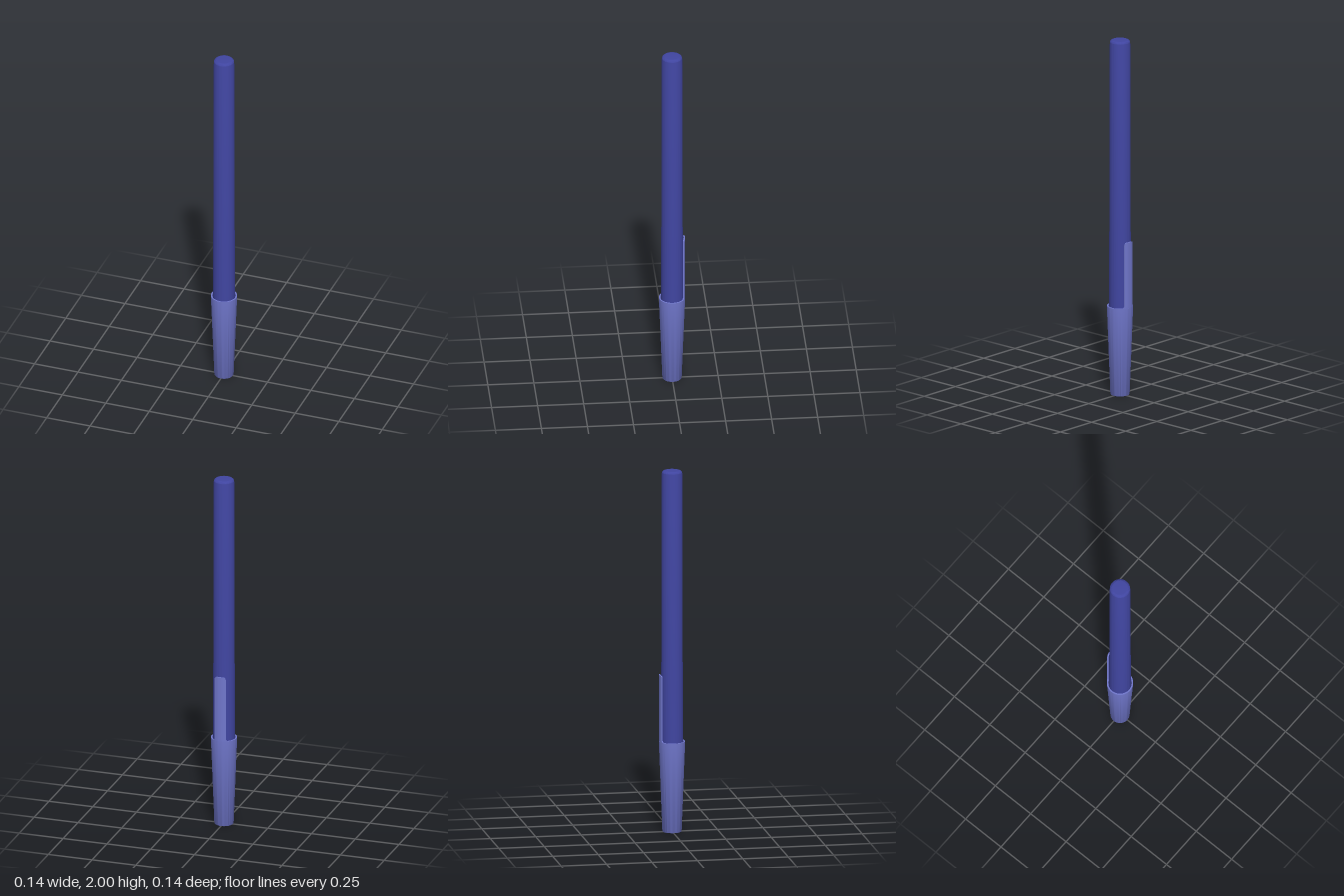
import * as THREE from 'three';
import { toCreasedNormals } from 'three/addons/utils/BufferGeometryUtils.js';

const SEGMENTS = 64;

function lathe(name, points, material) {
  const profile = points.map(([r, y]) => new THREE.Vector2(r, y));
  const geometry = toCreasedNormals(new THREE.LatheGeometry(profile, SEGMENTS), 0.6);
  const mesh = new THREE.Mesh(geometry, material);
  mesh.name = name;
  return mesh;
}

// Curved strip around the back (-z); rows are [half width, y]
function curvedStrip(rows, inner, outer, columns) {
  const positions = [], index = [], ring = 2 * (columns + 1);
  for (const [half, y] of rows) {
    for (let k = 0; k < ring; k++) {
      const onOuter = k <= columns;
      const t = (onOuter ? k : ring - 1 - k) / columns;
      const a = (2 * t - 1) * Math.asin(half / outer);
      const r = onOuter ? outer : inner;
      positions.push(r * Math.sin(a), y, -r * Math.cos(a));
    }
  }
  for (let i = 0; i < rows.length - 1; i++) {
    for (let k = 0; k < ring; k++) {
      const a = i * ring + k, b = i * ring + (k + 1) % ring;
      index.push(a, a + ring, b, b, a + ring, b + ring);
    }
  }
  // Close the upper end
  const top = (rows.length - 1) * ring;
  for (let k = 0; k < columns; k++) {
    const o = top + k, n = top + ring - 1 - k;
    index.push(o, n, o + 1, o + 1, n, n - 1);
  }
  const geometry = new THREE.BufferGeometry();
  geometry.setAttribute('position', new THREE.Float32BufferAttribute(positions, 3));
  geometry.setIndex(index);
  return toCreasedNormals(geometry, 0.6);
}

export function createModel() {
  const group = new THREE.Group();
  group.name = 'cappedPen';
  const barrelMaterial = new THREE.MeshStandardMaterial({ color: 0x4045a0 });
  const capMaterial = new THREE.MeshStandardMaterial({ color: 0x7077cc });

  // Slightly tapered barrel with a rounded end, and the nib hidden in the cap
  const barrel = [[0, 0.05], [0.008, 0.06], [0.03, 0.16], [0.045, 0.24], [0.045, 0.42], [0.0595, 0.42]];
  const fillet = 0.016, topRadius = 0.0555;
  for (let i = 0; i <= 8; i++) {
    const a = (i / 8) * Math.PI / 2;
    barrel.push([topRadius - fillet + fillet * Math.cos(a), 2 - fillet + fillet * Math.sin(a)]);
  }
  barrel.push([0, 2]);
  group.add(lathe('barrel', barrel, barrelMaterial));

  // Hollow cap, widening towards its open rim
  group.add(lathe('cap', [
    [0, 0], [0.0505, 0], [0.0525, 0.003], [0.0715, 0.5],
    [0.064, 0.5], [0.046, 0.03], [0, 0.03],
  ], capMaterial));

  // Pocket clip: flared root, straight body, rounded corners at the tip
  const half = 0.032, flare = 0.018, corner = 0.014, tip = 0.87;
  const rows = [];
  for (let i = 0; i <= 6; i++) {
    const a = (i / 6) * Math.PI / 2;
    rows.push([half + flare * (1 - Math.sin(a)), 0.498 + flare * (1 - Math.cos(a))]);
  }
  for (let i = 0; i <= 6; i++) {
    const a = (i / 6) * Math.PI / 2;
    rows.push([half - corner * (1 - Math.cos(a)), tip - corner * (1 - Math.sin(a))]);
  }
  const clip = new THREE.Mesh(curvedStrip(rows, 0.064, 0.0713, 12), capMaterial);
  clip.name = 'pocketClip';
  group.add(clip);

  return group;
}
